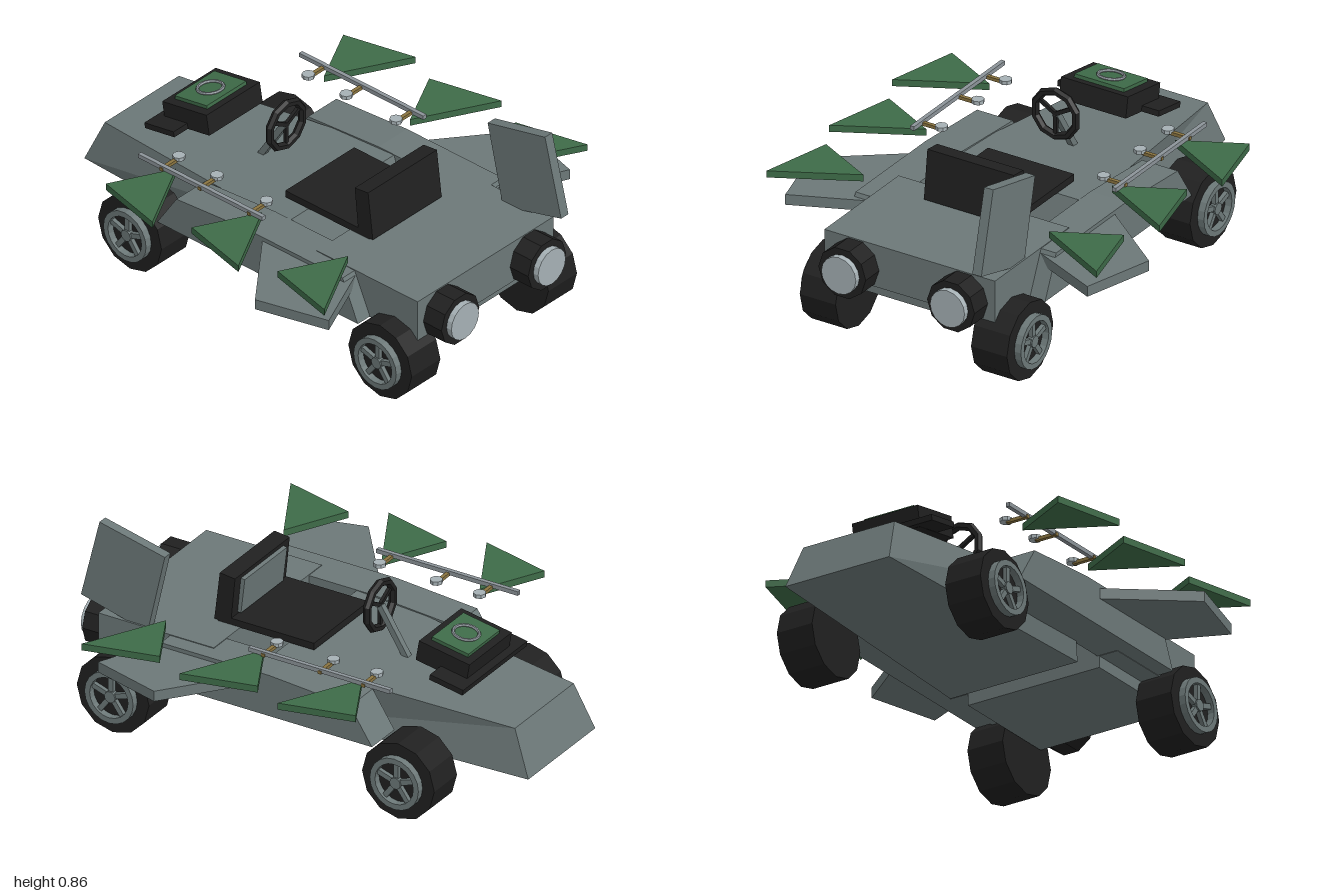
import * as THREE from 'three';

const paint = (name, color) => {
  const m = new THREE.MeshStandardMaterial({ color });
  m.name = name;
  return m;
};

export function createModel() {
  const grey = paint('bodyGrey', 0x6c7878);
  const black = paint('black', 0x202020);
  const green = paint('leafGreen', 0x3e6b48);
  const lens = paint('lensGrey', 0xa6b1b5);
  const steel = paint('rodSteel', 0x8c9499);
  const brass = paint('brass', 0x8a7440);
  const model = new THREE.Group();
  model.name = 'goKart';

  // Faceted mesh with a name and a position
  const add = (name, geo, mat, pos = [0, 0, 0], parent = model) => {
    const g = geo.index ? geo.toNonIndexed() : geo;
    g.computeVertexNormals();
    const mesh = new THREE.Mesh(g, mat);
    mesh.name = name;
    mesh.position.set(...pos);
    parent.add(mesh);
    return mesh;
  };
  const box = (w, h, d) => new THREE.BoxGeometry(w, h, d);
  const shapeOf = pts => new THREE.Shape(pts.map(p => new THREE.Vector2(...p)));
  const extrude = (shape, depth, curveSegments = 12) =>
    new THREE.ExtrudeGeometry(shape, { depth, bevelEnabled: false, curveSegments });
  // Side profile given as (z, y), spanning x0 to x1
  const sideSlab = (pts, x0, x1) =>
    extrude(shapeOf(pts), x1 - x0).rotateY(-Math.PI / 2).translate(x1, 0, 0);
  // Plan outline given as (x, z), spanning y0 to y1
  const planSlab = (pts, y0, y1) =>
    extrude(shapeOf(pts), y1 - y0).rotateX(Math.PI / 2).translate(0, y1, 0);

  // Wedge-shaped body: a box whose corners are moved
  const wedge = box(2, 2, 2);
  const p = wedge.attributes.position;
  for (let i = 0; i < p.count; i++) {
    const top = p.getY(i) > 0, rear = p.getZ(i) > 0;
    const [w, y, z] = rear
      ? (top ? [0.338, 0.45, 0.13] : [0.3, 0.195, 0.215])
      : (top ? [0.215, 0.385, -0.92] : [0.245, 0.195, -1]);
    p.setXYZ(i, Math.sign(p.getX(i)) * w, y, z);
  }
  add('wedgeBody', wedge, grey);

  // Box body behind the seat, with its lower step
  add('lampBody', box(0.79, 0.185, 0.53), grey, [0, 0.3625, 0.615]);
  add('lowerStep', box(0.62, 0.05, 0.5), grey, [0, 0.246, 0.6]);

  // Upright fin on one side
  add('fin', sideSlab([[0.88, 0.855], [0.58, 0.785], [0.655, 0.45], [0.74, 0.45], [0.965, 0.51]], 0.345, 0.387), grey);

  // Lamps
  for (const s of [-1, 1]) {
    add('lampHousing', new THREE.CylinderGeometry(0.11, 0.11, 0.1, 10).rotateY(Math.PI / 2).rotateX(Math.PI / 2),
      black, [s * 0.252, 0.345, 0.925]);
    add('lampLens', new THREE.CylinderGeometry(0.08, 0.08, 0.03, 16).rotateX(Math.PI / 2),
      lens, [s * 0.252, 0.345, 0.985]);
  }

  // Wheels: tyre, rim ring, five spokes and a cap
  const rim = new THREE.Shape().absarc(0, 0, 0.112, 0, Math.PI * 2);
  rim.holes.push(new THREE.Path().absarc(0, 0, 0.088, 0, Math.PI * 2, true));
  for (const s of [-1, 1]) {
    for (const [name, z] of [['rearWheel', -0.55], ['frontWheel', 0.76]]) {
      const wheel = new THREE.Group();
      wheel.name = name;
      wheel.position.set(s * 0.397, 0.164, z);
      wheel.position.y = 0.166;
      wheel.rotation.y = s > 0 ? 0 : Math.PI;
      model.add(wheel);
      add('tyre', new THREE.CylinderGeometry(0.166, 0.166, 0.166, 12).rotateZ(Math.PI / 2), black, [0, 0, 0], wheel);
      add('rim', extrude(rim, 0.03, 10).rotateY(Math.PI / 2), grey, [0.083, 0, 0], wheel);
      add('cap', new THREE.CylinderGeometry(0.025, 0.025, 0.025, 10).rotateZ(Math.PI / 2), grey, [0.095, 0, 0], wheel);
      for (let i = 0; i < 5; i++) {
        const spoke = box(0.018, 0.09, 0.022).translate(0, 0.052, 0).rotateX(i * Math.PI * 0.4);
        add('spoke', spoke, grey, [0.092, 0, 0], wheel);
      }
    }
  }

  for (const s of [-1, 1]) {
    const flip = pts => pts.map(([x, z]) => [s * x, z]);

    // Side pods joining both halves of the body
    const x0 = s > 0 ? 0.3 : -0.465, x1 = s > 0 ? 0.465 : -0.3;
    add('sidePod', sideSlab([[-0.42, 0.272], [-0.32, 0.425], [0.05, 0.452], [0.55, 0.452], [0.63, 0.272]], x0, x1), grey);

    // Grey side wing
    add('sideWing', planSlab(flip([[0.4, 0.13], [0.465, 0.13], [0.785, 0.38], [0.7, 0.69], [0.38, 0.55]]), 0.39, 0.435), grey);

    // Three green blades in a row
    for (const z of [-0.33, -0.06 + 0.18, 0.57]) {
      add('blade', planSlab(flip([[0.69, z - 0.157], [0.765, z + 0.155], [0.43, z - 0.023]]), 0.507, 0.536), green);
    }

    // Rod with three brass arms and knobs
    add('rod', box(0.018, 0.018, 0.65), steel, [s * 0.468, 0.548, -0.185]);
    for (const z of [-0.387, -0.188, 0.072]) {
      add('arm', box(0.1, 0.014, 0.016), brass, [s * 0.43, 0.542, z]);
      add('knob', new THREE.CylinderGeometry(0.026, 0.026, 0.016, 8), lens, [s * 0.376, 0.55, z]);
    }
  }

  // Seat with a padded back
  add('seatCushion', box(0.4, 0.03, 0.44), black, [0, 0.468, 0.232]);
  add('seatBack', sideSlab([[0.445, 0.67], [0.375, 0.662], [0.395, 0.455], [0.47, 0.46]], -0.2, 0.2), black);
  add('seatPad', sideSlab([[0.376, 0.645], [0.358, 0.643], [0.376, 0.49], [0.394, 0.492]], -0.155, 0.155), grey);

  // Steering wheel and column
  add('steeringWheel', new THREE.TorusGeometry(0.098, 0.017, 6, 10).rotateZ(Math.PI / 10), black, [0, 0.612, -0.165]);
  const spokes = [0, 1, 2].map(i => box(0.016, 0.095, 0.014).translate(0, 0.047, 0).rotateZ(Math.PI / 3 + i * Math.PI * 2 / 3));
  spokes.forEach(g => add('steeringSpoke', g, black, [0, 0.612, -0.165]));
  const column = add('steeringColumn', box(0.026, 0.23, 0.026), grey, [0, 0.515, -0.23]);
  column.rotation.x = Math.atan2(0.12, 0.19);

  // Tilted engine box with a green cover and ring
  const engine = new THREE.Group();
  engine.name = 'engineBox';
  engine.position.set(0, 0.542, -0.55);
  engine.rotation.x = -0.17;
  model.add(engine);
  add('engineCase', box(0.31, 0.09, 0.235), black, [0, 0, 0], engine);
  add('enginePlate', box(0.47, 0.024, 0.155), black, [0, -0.032, -0.073], engine);
  add('engineCover', box(0.23, 0.02, 0.17), green, [0, 0.05, 0], engine);
  add('coverRing', new THREE.TorusGeometry(0.052, 0.007, 6, 16).rotateX(Math.PI / 2), steel, [0, 0.064, 0], engine);

  return model;
}
